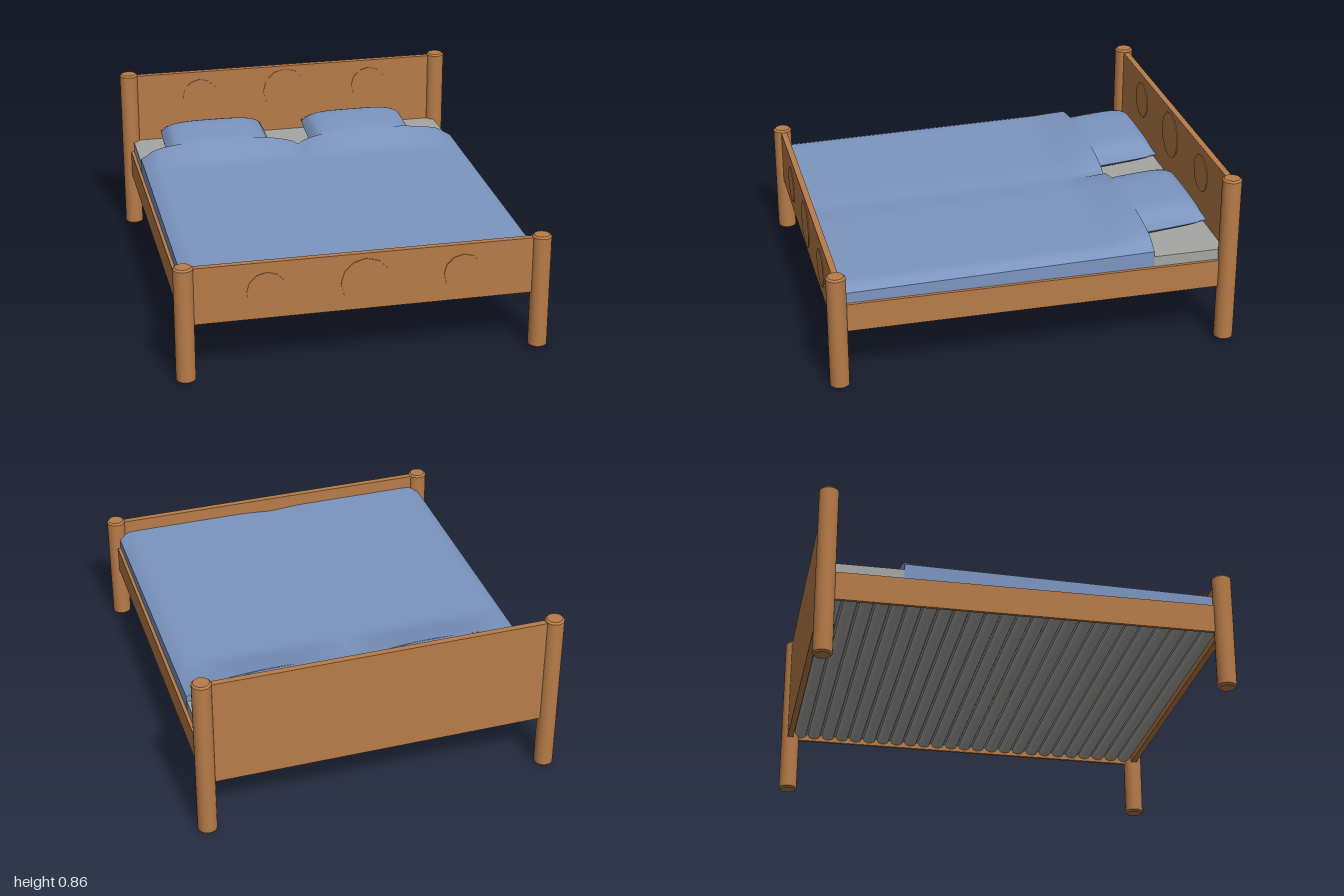
import * as THREE from 'three';
import { toCreasedNormals } from 'three/addons/utils/BufferGeometryUtils.js';

const wood = new THREE.MeshStandardMaterial({ name: 'warm wood', color: 0xb87c48 });
const blue = new THREE.MeshStandardMaterial({ name: 'blue bedding', color: 0x7c95c0 });
const grey = new THREE.MeshStandardMaterial({ name: 'grey mattress', color: 0xa6a6a4 });

function add(parent, name, geometry, material, x = 0, y = 0, z = 0) {
  const mesh = new THREE.Mesh(geometry, material);
  mesh.name = name;
  mesh.position.set(x, y, z);
  parent.add(mesh);
  return mesh;
}

// Moves every vertex of a geometry by a rule, then refreshes the normals
function reshape(geometry, rule) {
  const p = geometry.attributes.position;
  const v = new THREE.Vector3();
  for (let i = 0; i < p.count; i++) {
    v.fromBufferAttribute(p, i);
    rule(v);
    p.setXYZ(i, v.x, v.y, v.z);
  }
  geometry.computeVertexNormals();
  return geometry;
}

// Round post with small chamfers at both ends
function postGeometry(height) {
  const r = 0.047, c = 0.009;
  const profile = [[0, 0], [r - c, 0], [r, c], [r, height - c], [r - c, height], [0, height]];
  const lathe = new THREE.LatheGeometry(profile.map(([x, y]) => new THREE.Vector2(x, y)), 20);
  return toCreasedNormals(lathe, 0.6);
}

// Flat board with three shallow discs on its front
function board(name, height, z, discY) {
  const group = new THREE.Group();
  group.name = name;
  const bottom = 0.287, depth = 0.03;
  add(group, name + 'Panel', new THREE.BoxGeometry(1.7, height, depth), wood, 0, bottom + height / 2, z);
  for (const [x, r] of [[-0.47, 0.095], [0, 0.12], [0.47, 0.095]]) {
    const disc = new THREE.CylinderGeometry(r, r, 0.006, 12);
    disc.rotateX(Math.PI / 2);
    add(group, name + 'Disc', disc, wood, x, discY, z + depth / 2 + 0.001);
  }
  return group;
}

// Duvet: gentle slope, two mounds over the pillows and a valley between them
function duvetTop(x, z) {
  const a = Math.abs(x);
  const slope = 0.507 + 0.025 * (0.93 - z) / 1.33;
  const t = THREE.MathUtils.clamp((-z - 0.38) / 0.2, 0, 1);
  const mound = a < 0.8 ? Math.sqrt(Math.sin(Math.PI * a / 0.8)) : 0;
  const valley = 0.01 * Math.exp(-Math.pow(x / 0.1, 2));
  const edge = 0.03 * Math.pow(Math.max(0, (a - 0.77) / 0.08), 2);
  return slope + 0.052 * t * mound - valley - edge;
}

function duvetGeometry() {
  const zHead = -0.585, zFoot = 0.93, base = 0.43;
  const box = new THREE.BoxGeometry(1.694, 1, zFoot - zHead, 60, 1, 40);
  return reshape(box, (v) => {
    v.z += (zHead + zFoot) / 2;
    v.y = v.y > 0 ? duvetTop(v.x, v.z) : base;
  });
}

// Pillow: plump in the middle, thin at the seam, raised towards the headboard
function pillowGeometry() {
  const hw = 0.28, hd = 0.22;
  const box = new THREE.BoxGeometry(2 * hw, 1, 2 * hd, 24, 1, 20);
  return reshape(box, (p) => {
    const u = p.x / hw, v = p.z / hd;
    const puff = Math.sqrt(Math.max(0, (1 - u ** 4) * (1 - v ** 4)));
    const seam = 0.515 - 0.018 * v;
    p.y = p.y > 0 ? seam + 0.003 + 0.08 * puff : seam - 0.003 - 0.035 * puff;
    p.x *= 1 - 0.02 * v * v;
  });
}

export function createModel() {
  const bed = new THREE.Group();
  bed.name = 'bed';

  // Posts and side rails, mirrored
  for (const side of [-1, 1]) {
    add(bed, 'headPost', postGeometry(0.86), wood, side * 0.855, 0, -0.953);
    add(bed, 'footPost', postGeometry(0.58), wood, side * 0.855, 0, 0.953);
    add(bed, 'sideRail', new THREE.BoxGeometry(0.016, 0.14, 1.88), wood, side * 0.854, 0.357, 0);
  }

  // Headboard and footboard
  bed.add(board('headboard', 0.56, -0.955, 0.71));
  bed.add(board('footboard', 0.283, 0.95, 0.425));

  // Mattress and the slats below it
  add(bed, 'mattress', new THREE.BoxGeometry(1.69, 0.16, 1.86), grey, 0, 0.4, -0.008);
  const slats = new THREE.Group();
  slats.name = 'slats';
  bed.add(slats);
  const slat = new THREE.CylinderGeometry(0.032, 0.032, 1.69, 10);
  slat.rotateZ(Math.PI / 2);
  slat.scale(1, 0.7, 1);
  const count = 25;
  for (let i = 0; i < count; i++) {
    add(slats, 'slat', slat, grey, 0, 0.32, -0.9 + 1.8 * i / (count - 1));
  }

  // Bedding
  add(bed, 'duvet', duvetGeometry(), blue);
  for (const x of [-0.42, 0.36]) add(bed, 'pillow', pillowGeometry(), blue, x, 0, -0.7);

  return bed;
}
